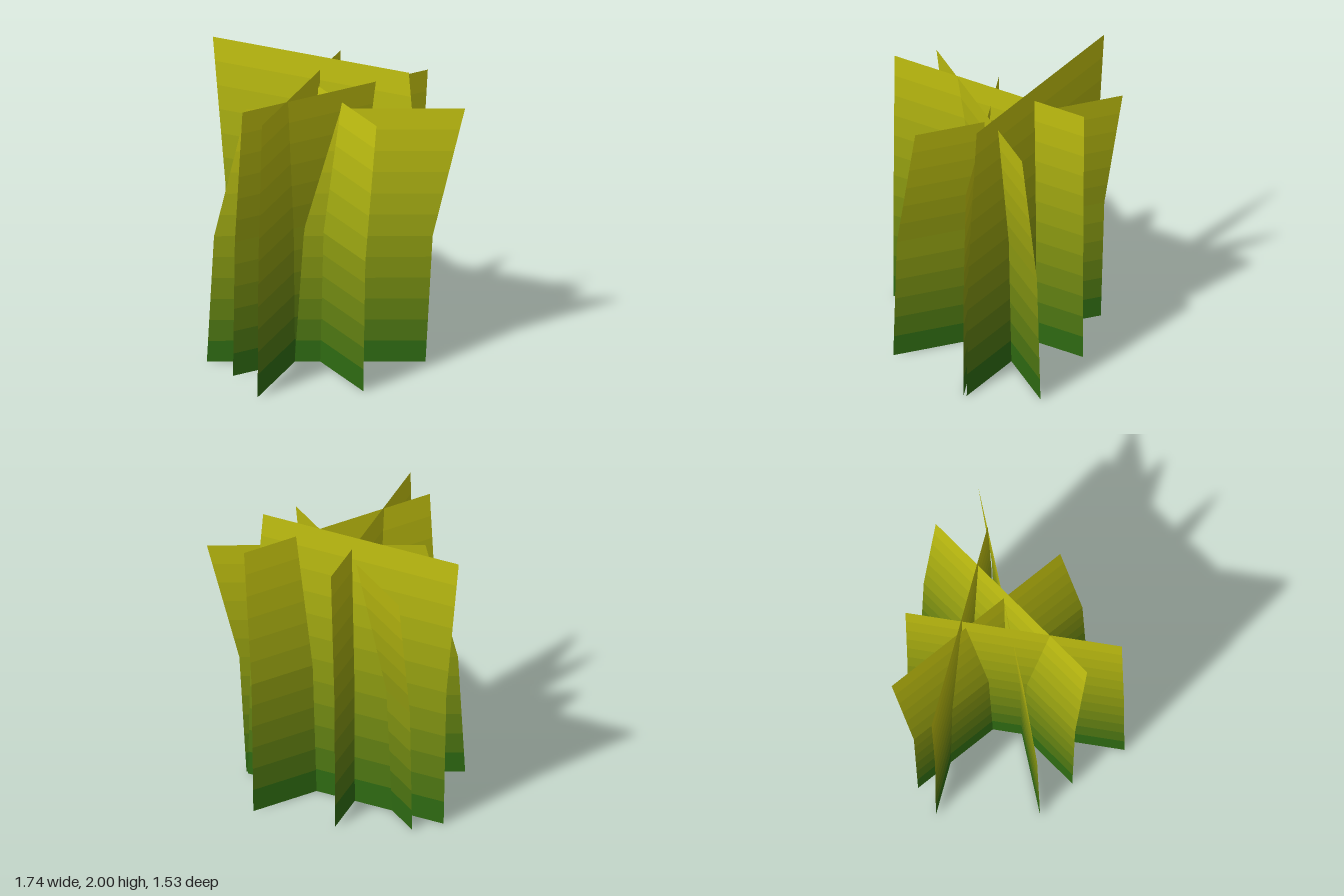
import * as THREE from 'three';

const BANDS = 12; // even, so that the bend falls between two bands
const ROOT = new THREE.Color(0x0f6412);
const TIP = new THREE.Color(0xc6c410);

// One colour per band, shared by all the blades
const materials = Array.from({ length: BANDS }, (_, i) =>
  new THREE.MeshStandardMaterial({
    color: ROOT.clone().lerp(TIP, (i + 0.5) / BANDS),
    side: THREE.DoubleSide,
  }));

// from, to: [x, z] ends of the foot; lean: [x, z] shift at the tip; bend: share of the lean at mid height
function makeBlade({ name, from, to, height, lean, bend }) {
  const blade = new THREE.Group();
  blade.name = name;
  const row = (t) => {
    const s = t < 0.5 ? bend * 2 * t : bend + (1 - bend) * (2 * t - 1);
    return [from, to].map(([x, z]) => [x + lean[0] * s, height * t, z + lean[1] * s]);
  };
  for (let i = 0; i < BANDS; i++) {
    const [a, b] = row(i / BANDS);
    const [c, d] = row((i + 1) / BANDS);
    const geometry = new THREE.BufferGeometry();
    geometry.setAttribute('position', new THREE.Float32BufferAttribute([...a, ...b, ...d, ...c], 3));
    geometry.setIndex([0, 1, 2, 0, 2, 3]);
    geometry.computeVertexNormals();
    const band = new THREE.Mesh(geometry, materials[i]);
    band.name = `${name}Band${i + 1}`;
    blade.add(band);
  }
  return blade;
}

export function createModel() {
  const clump = new THREE.Group();
  clump.name = 'grassClump';
  // Five crossed sheets, each leaning its own way
  const blades = [
    { name: 'backBlade', from: [-0.76, -0.213], to: [0.66, -0.382], height: 2, lean: [-0.11, 0.013], bend: 0.18 },
    { name: 'wideBlade', from: [-0.63, -0.39], to: [0.63, 0.295], height: 1.8, lean: [-0.015, -0.18], bend: 0.16 },
    { name: 'spreadBlade', from: [-0.51, 0.42], to: [0.68, -0.37], height: 1.755, lean: [0.185, -0.19], bend: 0.18 },
    { name: 'steepBlade', from: [-0.23, 0.535], to: [0.365, -0.765], height: 1.895, lean: [0.113, 0.06], bend: 0.19 },
    { name: 'narrowBlade', from: [0.113, 0.765], to: [-0.19, -0.635], height: 1.905, lean: [0.017, -0.025], bend: 0.18 },
  ];
  for (const spec of blades) clump.add(makeBlade(spec));
  return clump;
}
